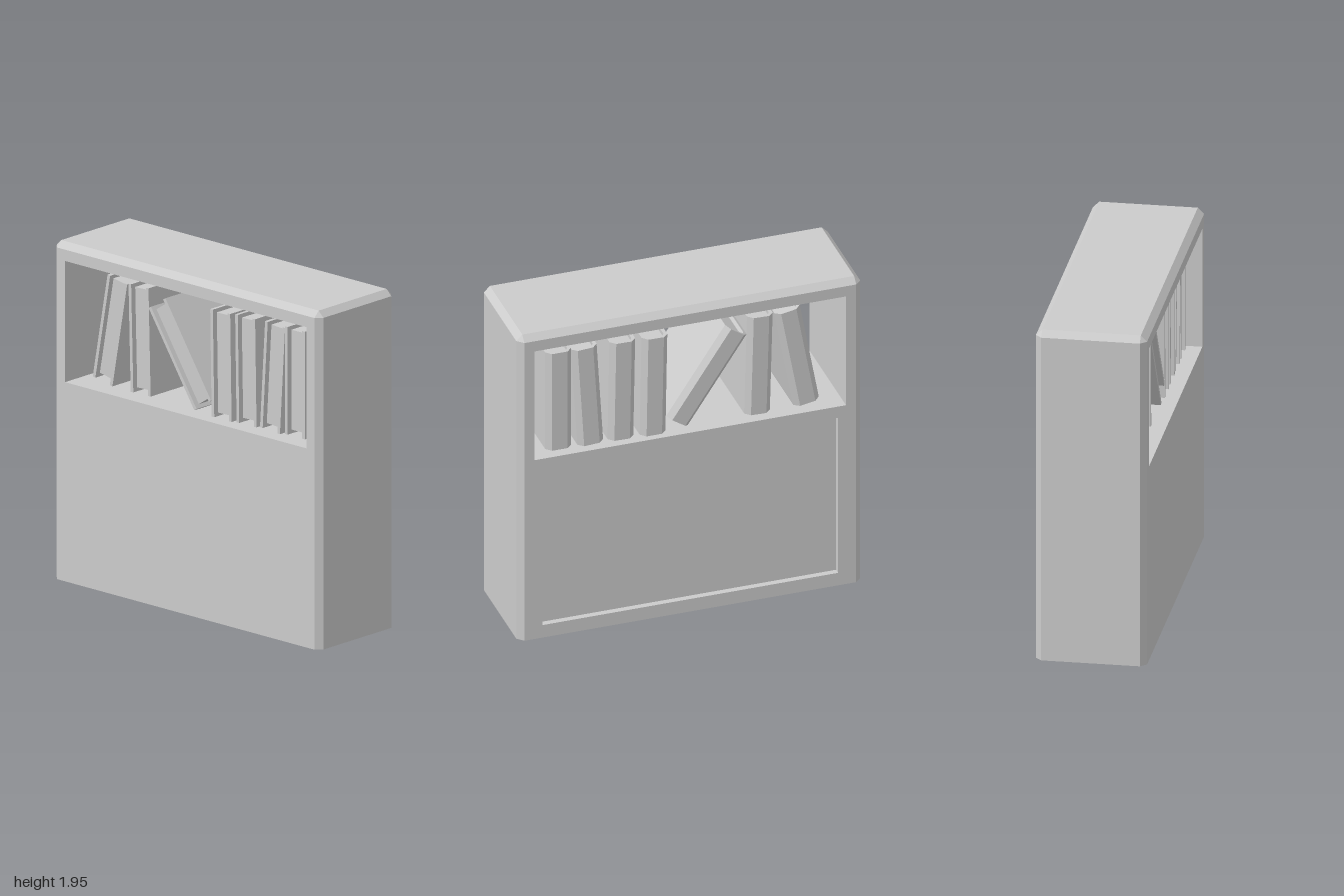
import * as THREE from 'three';

const material = new THREE.MeshStandardMaterial({ color: 0xcccccc, flatShading: true });
const W = 0.31, D = 1, H = 1.945, C = 0.035; // half width, half length, height, chamfer

function part(name, geometry) {
  const mesh = new THREE.Mesh(geometry, material);
  mesh.name = name;
  return mesh;
}

function rectPath(half, y0, y1) {
  return new THREE.Path([[-half, y0], [-half, y1], [half, y1], [half, y0]].map(p => new THREE.Vector2(...p)));
}

// Slab of the cabinet between two x positions, with rectangular holes;
// the outline is drawn in where the slab reaches the outer side (chamfer)
function slab(name, x0, x1, holes) {
  const shape = new THREE.Shape([[-D, 0], [D, 0], [D, H - C], [D - C, H], [C - D, H], [-D, H - C]]
    .map(p => new THREE.Vector2(...p)));
  shape.holes = holes;
  const geo = new THREE.ExtrudeGeometry(shape, { depth: x1 - x0, bevelEnabled: false });
  geo.rotateY(Math.PI / 2).translate(x0, 0, 0);
  const pos = geo.attributes.position;
  for (let i = 0; i < pos.count; i++) {
    if (Math.abs(pos.getX(i)) < W - 0.001) continue;
    pos.setY(i, Math.min(pos.getY(i), H - C));
    pos.setZ(i, THREE.MathUtils.clamp(pos.getZ(i), C - D, D - C));
  }
  geo.computeVertexNormals();
  return part(name, geo);
}

function makeBook() {
  const book = new THREE.Group();
  // Cover: thin U wrapped round the pages, with a chamfered spine towards +x
  const half = [[-0.25, 0.055], [-0.25, 0.075], [0.22, 0.075], [0.25, 0.045]];
  const inner = [[0.235, 0.04], [0.212, 0.055]];
  const flip = list => list.map(([x, y]) => [x, -y]).reverse();
  const outline = [...half, ...flip(half), ...flip(inner), ...inner];
  const cover = new THREE.ExtrudeGeometry(
    new THREE.Shape(outline.map(p => new THREE.Vector2(...p))), { depth: 0.62, bevelEnabled: false });
  cover.translate(0, 0, -0.31).rotateX(-Math.PI / 2);
  book.add(part('bookCover', cover));
  // Pages set back from the cover edges
  const pages = new THREE.BoxGeometry(0.43, 0.575, 0.11);
  book.add(part('bookPages', pages.translate(-0.003, 0, 0)));
  return book;
}

export function createModel() {
  const model = new THREE.Group();
  model.name = 'bookcase';

  // Cabinet with an opening right through and a recessed panel on the +x side
  const opening = rectPath(0.905, 1.147, 1.845);
  const recess = rectPath(0.86, 0.08, 1.075);
  const cabinet = new THREE.Group();
  cabinet.name = 'cabinet';
  cabinet.add(
    slab('cabinetBody', C - W, W - C, [opening]),
    slab('panelFrame', W - C, W, [opening, recess]),
    slab('plainSide', -W, C - W, [opening]),
  );
  model.add(cabinet);

  // Books: z, centre height, lean in degrees
  const books = [
    [0.745, 1.472, 0], [0.577, 1.467, 3.5], [0.377, 1.464, -1], [0.19, 1.455, -1],
    [-0.118, 1.455, -33.5], [-0.42, 1.473, -1.5], [-0.642, 1.482, 10.3],
  ];
  books.forEach(([z, y, lean], i) => {
    const book = makeBook();
    book.name = `book${i + 1}`;
    book.position.set(0.02, y, z);
    book.rotation.x = THREE.MathUtils.degToRad(lean);
    model.add(book);
  });
  return model;
}
